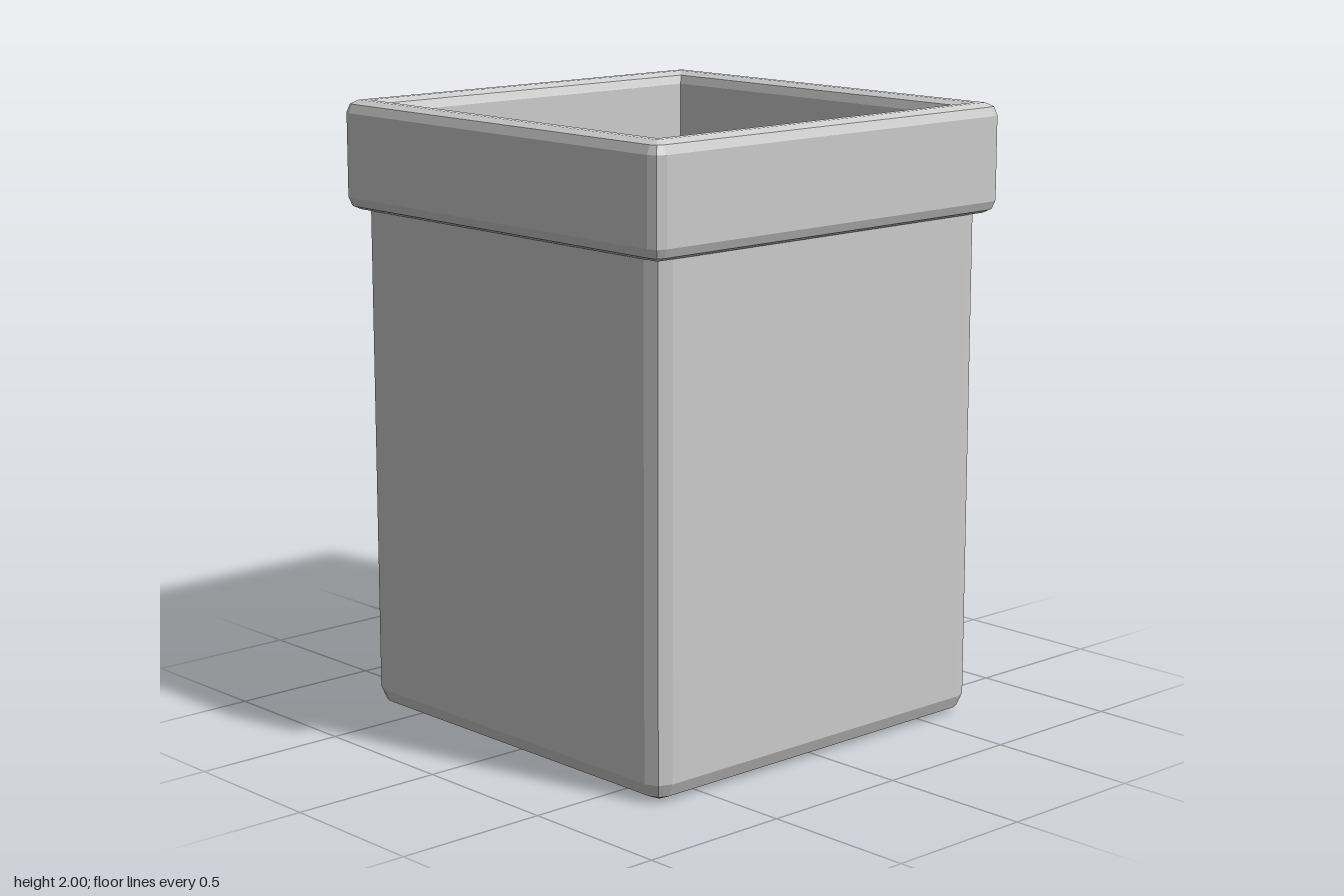
import * as THREE from 'three';

// Square ring with two-segment rounded corners: 3 points per corner, h = half size, r = corner radius
function ring(h, y, r) {
  const pts = [];
  for (let k = 0; k < 4; k++) {
    const mid = Math.PI / 4 + k * Math.PI / 2;
    const cx = Math.sign(Math.cos(mid)) * (h - r);
    const cz = Math.sign(Math.sin(mid)) * (h - r);
    for (let s = 0; s < 3; s++) {
      const a = (k + s / 2) * Math.PI / 2;
      pts.push([cx + r * Math.cos(a), y, cz + r * Math.sin(a)]);
    }
  }
  return pts;
}

// Joins square rings [half size, y, corner radius] into a flat-shaded surface
function loft(profile) {
  const rings = profile.map(p => ring(...p));
  const pos = [];
  for (let i = 0; i < rings.length - 1; i++) {
    for (let j = 0; j < 12; j++) {
      const n = (j + 1) % 12;
      const a = rings[i][j], b = rings[i][n], c = rings[i + 1][n], d = rings[i + 1][j];
      pos.push(...a, ...d, ...c, ...a, ...c, ...b);
    }
  }
  const geo = new THREE.BufferGeometry();
  geo.setAttribute('position', new THREE.Float32BufferAttribute(pos, 3));
  geo.computeVertexNormals();
  return geo;
}

export function createModel() {
  const group = new THREE.Group();
  const material = new THREE.MeshStandardMaterial({ color: 0xcccccc, flatShading: true });
  const add = (name, profile) => {
    const mesh = new THREE.Mesh(loft(profile), material);
    mesh.name = name;
    group.add(mesh);
  };

  // Tall square body with bevelled edges
  add('body', [
    [0, 0, 0], [0.635, 0, 0], [0.677, 0.018, 0.042], [0.695, 0.06, 0.06],
    [0.695, 1.67, 0.06], [0.677, 1.705, 0.042], [0.635, 1.72, 0], [0, 1.72, 0],
  ]);

  // Overhanging collar, a closed profile with bevelled edges
  add('rim', [
    [0.64, 1.65, 0], [0.70, 1.65, 0], [0.728, 1.662, 0.028], [0.74, 1.69, 0.04],
    [0.74, 1.96, 0.04], [0.728, 1.988, 0.028], [0.70, 2, 0],
    [0.675, 2, 0], [0.648, 1.988, 0], [0.637, 1.96, 0], [0.637, 1.65, 0], [0.64, 1.65, 0],
  ]);

  // Recessed filling with clipped corners
  add('filling', [[0.632, 1.70, 0.055], [0.632, 1.735, 0.055], [0, 1.735, 0]]);

  return group;
}
